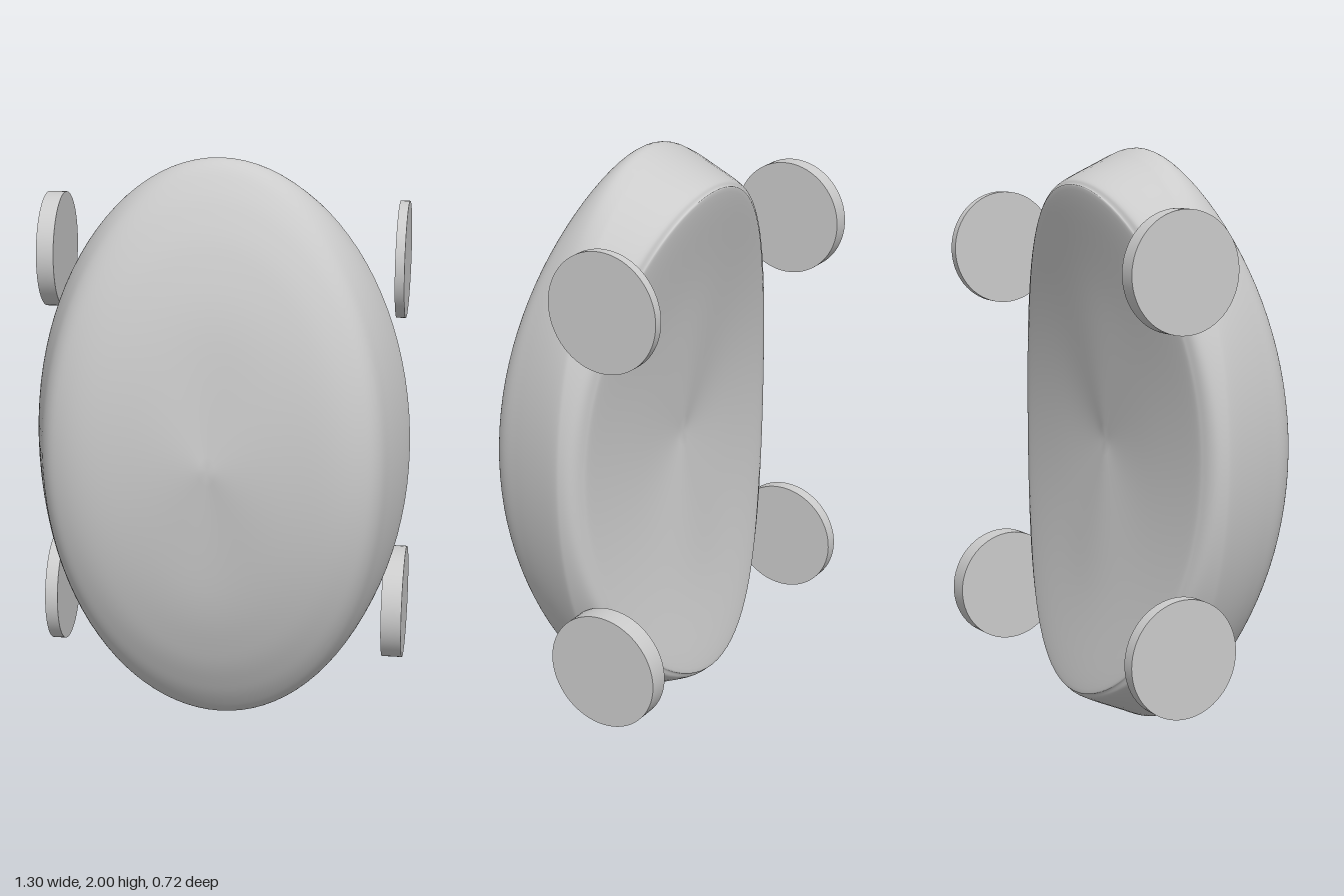
import * as THREE from 'three';
import { mergeVertices } from 'three/addons/utils/BufferGeometryUtils.js';

const material = new THREE.MeshStandardMaterial({ color: 0xcccccc });

// Cross-sections from front centre, round the rim, to back centre: [radius, z].
const sideSection = [
  [0, 0.36], [0.25, 0.36], [0.42, 0.355], [0.52, 0.325], [0.57, 0.28], [0.6, 0.2], [0.63, 0.1],
  [0.65, 0.02], [0.65, -0.01], [0.635, -0.04], [0.6, -0.06], [0.54, -0.07], [0.3, -0.08], [0, -0.08],
];
const endSection = [
  [0, 0.36], [0.45, 0.31], [0.7, 0.245], [0.85, 0.18], [0.94, 0.125], [0.985, 0.085], [1, 0.045],
  [0.985, 0], [0.967, -0.04], [0.91, -0.17], [0.885, -0.2], [0.84, -0.205], [0.5, -0.14], [0, -0.08],
];

const toCurve = (points) => new THREE.SplineCurve(points.map(([r, z]) => new THREE.Vector2(r, z)));

// Oval curved shell: blend the side section into the end section around the oval.
function bodyGeometry() {
  const side = toCurve(sideSection);
  const end = toCurve(endSection);
  let geometry = new THREE.SphereGeometry(1, 96, 78).rotateX(Math.PI / 2);
  const pos = geometry.attributes.position;
  for (let i = 0; i < pos.count; i++) {
    const t = Math.acos(THREE.MathUtils.clamp(pos.getZ(i), -1, 1)) / Math.PI;
    const angle = Math.atan2(pos.getY(i), pos.getX(i));
    const s = side.getPoint(t);
    const e = end.getPoint(t);
    const blend = Math.sin(angle) ** 2;
    pos.setXYZ(i, s.x * Math.cos(angle), 1 + e.x * Math.sin(angle), s.y + (e.y - s.y) * blend);
  }
  geometry.deleteAttribute('normal');
  geometry.deleteAttribute('uv');
  geometry = mergeVertices(geometry, 1e-5);
  geometry.computeVertexNormals();
  return geometry;
}

export function createModel() {
  const group = new THREE.Group();

  const body = new THREE.Mesh(bodyGeometry(), material);
  body.name = 'body';
  group.add(body);

  // Four discs, each with its own thickness: [name, inner x, outer x, y]
  const discs = [
    ['upperRightDisc', -0.578, -0.638, 1.63],
    ['upperLeftDisc', 0.588, 0.62, 1.63],
    ['lowerRightDisc', -0.593, -0.638, 0.375],
    ['lowerLeftDisc', 0.568, 0.64, 0.375],
  ];
  for (const [name, inner, outer, y] of discs) {
    const geometry = new THREE.CylinderGeometry(0.2, 0.2, Math.abs(outer - inner), 64).rotateZ(Math.PI / 2);
    const disc = new THREE.Mesh(geometry, material);
    disc.name = name;
    disc.position.set((inner + outer) / 2, y, -0.157);
    group.add(disc);
  }
  return group;
}
